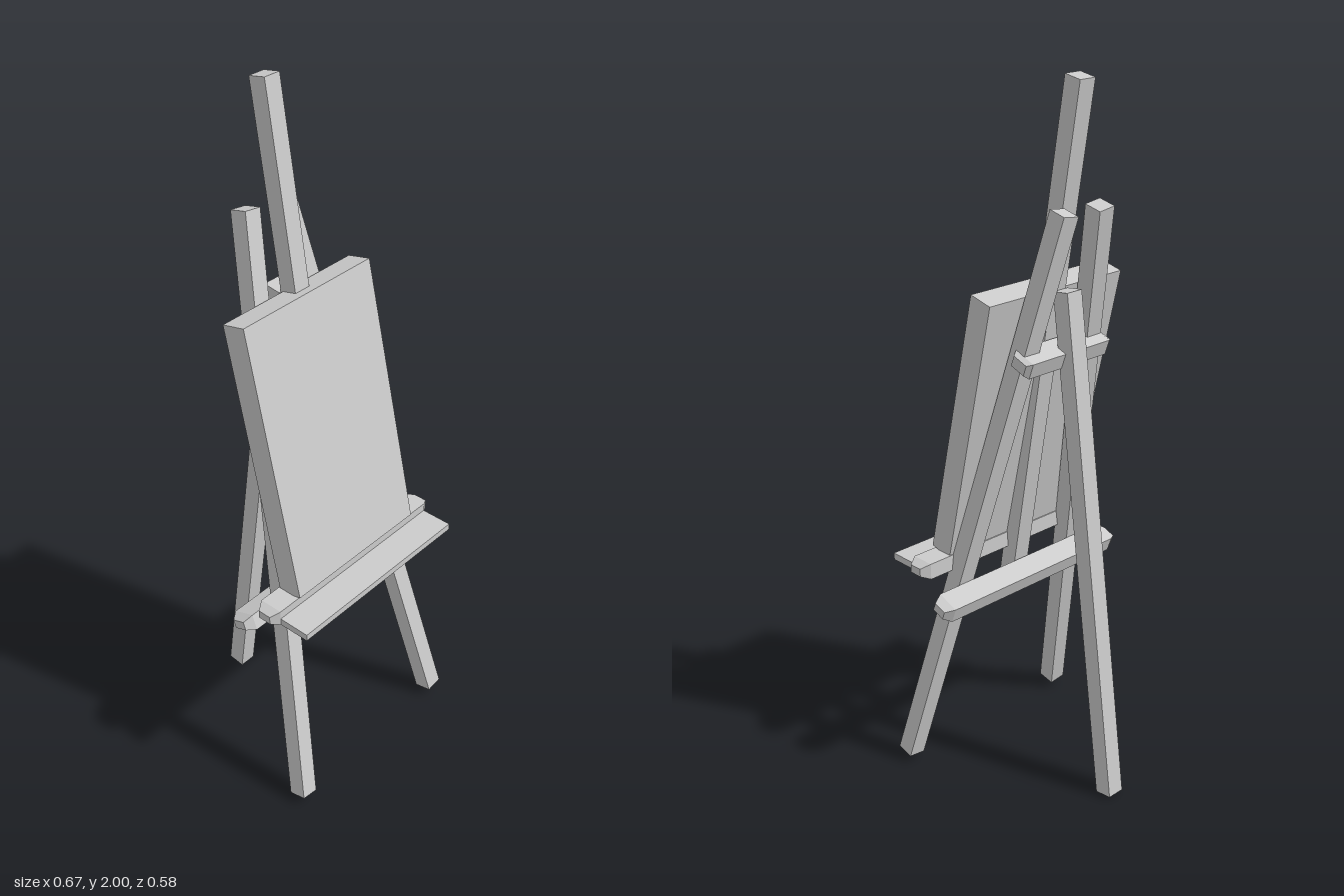
import * as THREE from 'three';

const material = new THREE.MeshStandardMaterial({ color: 0xcccccc, flatShading: true });

function addMesh(group, name, geometry) {
  const mesh = new THREE.Mesh(geometry, material);
  mesh.name = name;
  group.add(mesh);
  return mesh;
}

// Square timber running between two end points
function addBeam(group, name, from, to, width = 0.052) {
  const a = new THREE.Vector3(...from);
  const b = new THREE.Vector3(...to);
  const dir = b.clone().sub(a);
  const mesh = addMesh(group, name, new THREE.BoxGeometry(width, dir.length(), width));
  mesh.position.copy(a).add(b).multiplyScalar(0.5);
  mesh.quaternion.setFromUnitVectors(new THREE.Vector3(0, 1, 0), dir.normalize());
  return mesh;
}

// Horizontal bar whose ends taper on all four sides
function taperedBar(length, height, depth, taper, inset) {
  const geometry = new THREE.BoxGeometry(length, height, depth, 3, 1, 1);
  const p = geometry.attributes.position;
  const half = length / 2;
  for (let i = 0; i < p.count; i++) {
    const x = p.getX(i);
    if (Math.abs(x) > half * 0.9) {
      p.setY(i, p.getY(i) - Math.sign(p.getY(i)) * inset * 0.75);
      p.setZ(i, p.getZ(i) - Math.sign(p.getZ(i)) * inset);
    } else {
      p.setX(i, Math.sign(x) * (half - taper));
    }
  }
  geometry.computeVertexNormals();
  return geometry;
}

export function createModel() {
  const easel = new THREE.Group();
  easel.name = 'easel';

  // Splayed front legs, leaning back
  for (const [side, s] of [['left', 1], ['right', -1]]) {
    addBeam(easel, `${side}FrontLeg`, [s * 0.292, 0.027, 0.267], [s * 0.063, 1.672, -0.132]);
  }

  // Rear prop leg and the slightly crooked centre mast
  addBeam(easel, 'backLeg', [-0.002, 0.004, -0.262], [-0.002, 1.452, -0.08]);
  addBeam(easel, 'mast', [-0.006, 0.557, 0.14], [0.012, 1.995, -0.132]);

  // Cross bars behind the legs
  const lowerBar = addMesh(easel, 'lowerCrossBar', taperedBar(0.665, 0.046, 0.068, 0.026, 0.014));
  lowerBar.position.set(0, 0.589, 0.07);
  lowerBar.rotation.x = -0.36;

  const upperBar = addMesh(easel, 'upperCrossBar', taperedBar(0.308, 0.046, 0.068, 0.014, 0.01));
  upperBar.position.set(0, 1.282, -0.062);
  upperBar.rotation.x = -0.36;

  // Ledge that carries the canvas, with a thin tray in front
  const ledge = addMesh(easel, 'ledge', taperedBar(0.665, 0.046, 0.069, 0.026, 0.015));
  ledge.position.set(0, 0.677, 0.164);

  const tray = addMesh(easel, 'tray', new THREE.BoxGeometry(0.612, 0.02, 0.1));
  tray.position.set(0, 0.665, 0.241);

  // Canvas leaning on the mast
  const canvas = addMesh(easel, 'canvas', new THREE.BoxGeometry(0.473, 0.784, 0.072));
  canvas.position.set(-0.001, 1.079, 0.079);
  canvas.rotation.x = -0.235;

  return easel;
}
